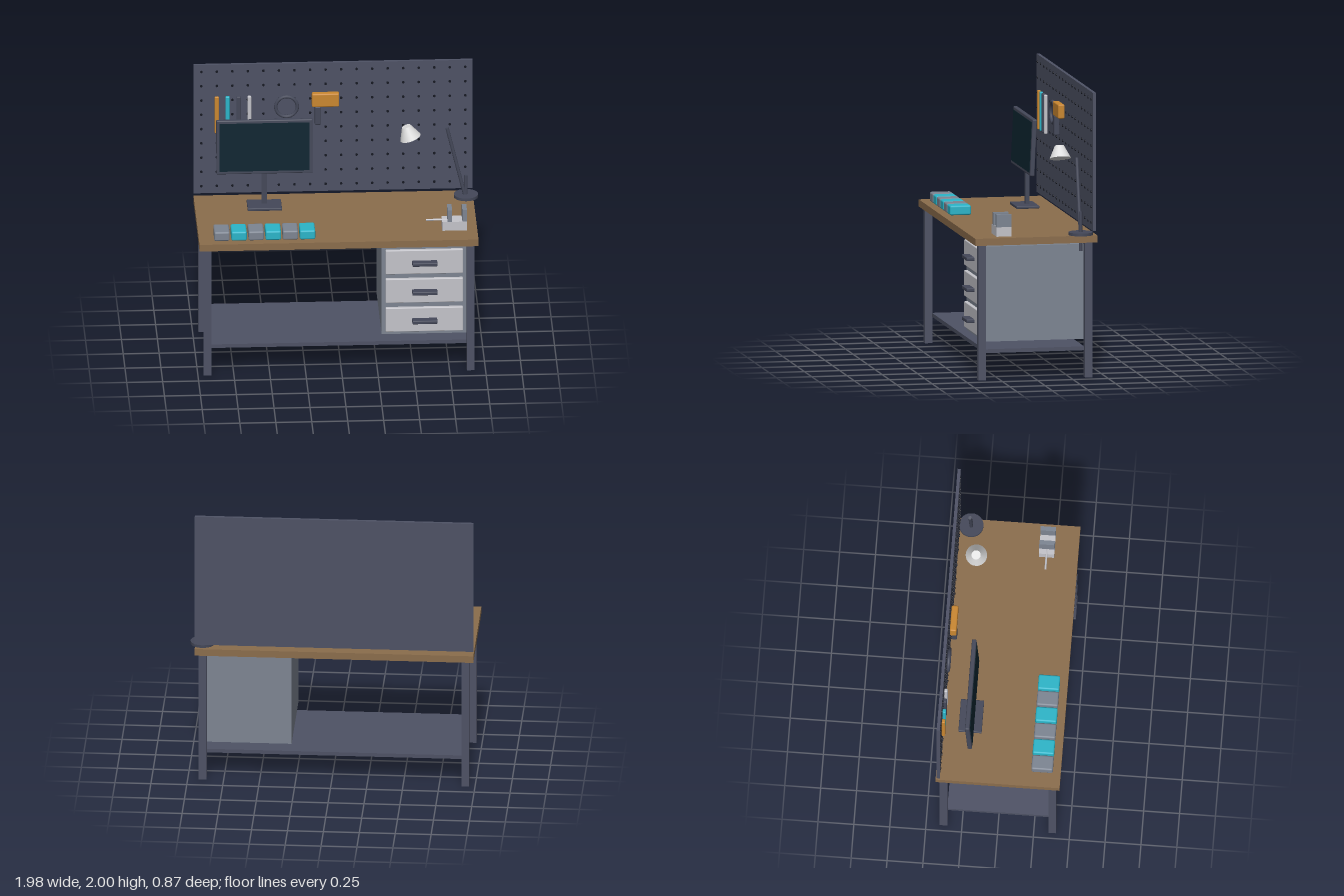
import * as THREE from 'three';
import { RoundedBoxGeometry } from 'three/addons/geometries/RoundedBoxGeometry.js';

const mat = (name, color) => new THREE.MeshStandardMaterial({ name, color });

export function createModel() {
  const wood = mat('wood', 0x8b6d4c), steel = mat('steel', 0x4e5265), dark = mat('darkMetal', 0x444859),
    grey = mat('grey', 0x7d8592), light = mat('lightGrey', 0xc4c4ca), cyan = mat('cyan', 0x2bb5c9),
    orange = mat('orange', 0xca8730), glass = mat('screenGlass', 0x0d2530), white = mat('shadeWhite', 0xdcdcdc),
    hole = mat('holeDark', 0x151822);

  const model = new THREE.Group();
  model.name = 'workbench';
  const group = (name, parent = model) => {
    const g = new THREE.Group();
    g.name = name;
    parent.add(g);
    return g;
  };
  const add = (name, geometry, material, parent, x = 0, y = 0, z = 0) => {
    const m = new THREE.Mesh(geometry, material);
    m.name = name;
    m.position.set(x, y, z);
    parent.add(m);
    return m;
  };
  // Box given by its limits on each axis; r rounds the edges
  const box = (name, material, parent, [x0, x1], [y0, y1], [z0, z1], r = 0) => {
    const s = [x1 - x0, y1 - y0, z1 - z0];
    const geo = r ? new RoundedBoxGeometry(...s, 2, r) : new THREE.BoxGeometry(...s);
    return add(name, geo, material, parent, (x0 + x1) / 2, (y0 + y1) / 2, (z0 + z1) / 2);
  };
  // Round rod between two points
  const rod = (name, material, parent, from, to, r) => {
    const a = new THREE.Vector3(...from), b = new THREE.Vector3(...to), d = b.clone().sub(a);
    const m = add(name, new THREE.CylinderGeometry(r, r, d.length(), 16), material, parent);
    m.position.copy(a).add(b).multiplyScalar(0.5);
    m.quaternion.setFromUnitVectors(new THREE.Vector3(0, 1, 0), d.normalize());
    return m;
  };

  // Table
  const table = group('table');
  box('tableTop', wood, table, [-0.99, 0.95], [0.95, 1.0], [-0.432, 0.432]);
  for (const x of [-0.96, 0.87])
    for (const z of [-0.405, 0.352])
      box('leg', steel, table, [x, x + 0.053], [0, 0.95], [z, z + 0.053]);
  box('lowerShelf', steel, table, [-0.912, 0.875], [0.185, 0.212], [-0.355, 0.355]);

  // Drawer cabinet
  const cabinet = group('cabinet');
  box('cabinetBody', grey, cabinet, [0.28, 0.872], [0.265, 0.932], [-0.352, 0.355]);
  for (const y of [0.38, 0.598, 0.815]) {
    box('drawerFront', light, cabinet, [0.307, 0.845], [y - 0.09, y + 0.09], [0.35, 0.38], 0.006);
    box('drawerHandle', dark, cabinet, [0.49, 0.665], [y - 0.013, y + 0.013], [0.375, 0.435], 0.006);
  }

  // Pegboard with rows of dark holes
  const pegboard = group('pegboard');
  box('board', steel, pegboard, [-0.99, 0.95], [1.03, 2.0], [-0.424, -0.402]);
  const pegGeo = new THREE.CylinderGeometry(0.009, 0.009, 0.008, 10).rotateX(Math.PI / 2);
  const holes = new THREE.InstancedMesh(pegGeo, hole, 0);
  holes.dispose();
  for (let i = 0; i < 18; i++)
    for (let j = 0; j < 9; j++)
      add('pegHole', pegGeo, hole, pegboard, -0.937 + i * 0.108, 1.085 + j * 0.108, -0.4);

  // Hanging tools
  const tools = group('hangingTools');
  [[-0.83, orange, 0.015], [-0.755, cyan, 0.015], [-0.678, dark, 0.016], [-0.603, light, 0.013]].forEach(([x, m, r]) =>
    box('handTool', m, tools, [x - r, x + r], [1.49, 1.765], [-0.4, -0.376], 0.007));
  add('tapeRing', new THREE.TorusGeometry(0.075, 0.012, 10, 32), dark, tools, -0.345, 1.68, -0.386);
  box('drillBody', orange, tools, [-0.17, 0.02], [1.685, 1.786], [-0.395, -0.348], 0.01);
  box('drillGrip', dark, tools, [-0.15, -0.106], [1.552, 1.69], [-0.385, -0.346], 0.008);

  // Monitor, tilted slightly back
  const monitor = group('monitor');
  box('monitorBase', dark, monitor, [-0.627, -0.388], [1.0, 1.02], [-0.3, -0.138], 0.005);
  box('monitorPost', dark, monitor, [-0.527, -0.488], [1.01, 1.287], [-0.25, -0.222]);
  const panel = group('monitorPanel', monitor);
  panel.position.set(-0.507, 1.458, -0.214);
  panel.rotation.x = -0.047;
  box('monitorCase', dark, panel, [-0.335, 0.335], [-0.199, 0.199], [-0.016, 0.016], 0.008);
  box('screen', glass, panel, [-0.313, 0.313], [-0.177, 0.177], [0.012, 0.019]);
  box('mount', dark, panel, [-0.02, 0.024], [-0.19, -0.1], [-0.03, -0.01]);

  // Row of parts bins
  const bins = group('partsBins');
  for (let i = 0; i < 6; i++) {
    const x = -0.831 + i * 0.119;
    box('bin', i % 2 ? cyan : grey, bins, [x - 0.054, x + 0.054], [1.0, 1.068], [0.227, 0.377], 0.012);
  }

  // Desk lamp
  const lamp = group('lamp');
  add('lampBase', new THREE.CylinderGeometry(0.085, 0.085, 0.02, 32), dark, lamp, 0.9, 1.01, -0.325);
  rod('lampPost', dark, lamp, [0.899, 0.887, -0.324], [0.899, 1.163, -0.324], 0.012);
  rod('lampArm', dark, lamp, [0.89, 1.02, -0.324], [0.768, 1.523, -0.324], 0.012);
  const shade = add('lampShade', new THREE.CylinderGeometry(0.032, 0.075, 0.09, 24), white, lamp, 0.496, 1.525, -0.26);
  shade.rotation.z = 0.33;

  // Bench vise
  const vise = group('vise');
  box('viseBody', light, vise, [0.706, 0.878], [1.0, 1.066], [0.16, 0.267]);
  for (const x of [0.743, 0.846])
    box('viseJaw', grey, vise, [x, x + 0.032], [1.06, 1.154], [0.16, 0.267]);
  rod('viseScrew', light, vise, [0.596, 1.062, 0.214], [0.75, 1.062, 0.214], 0.007);

  return model;
}
